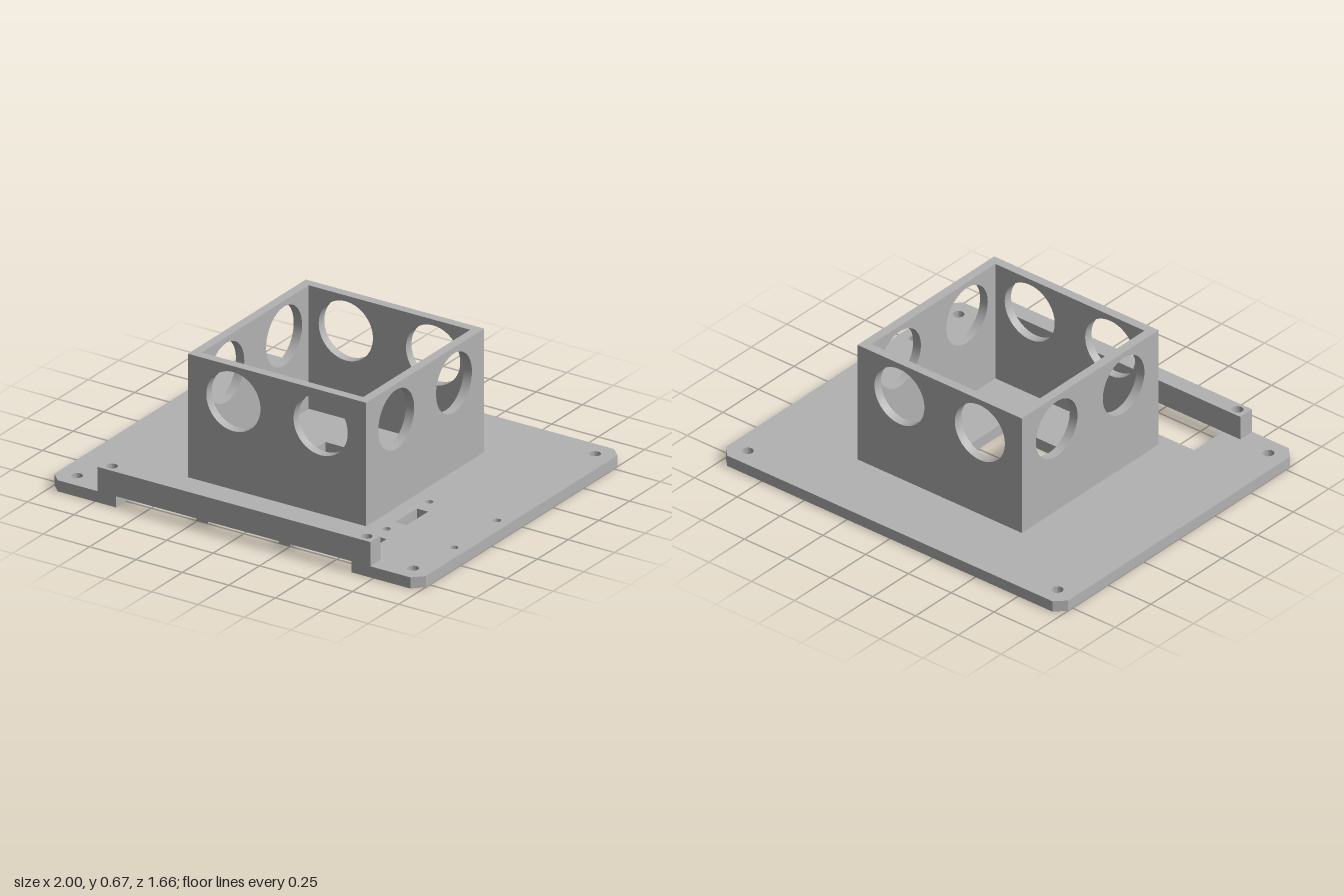
import * as THREE from 'three';
import { toCreasedNormals } from 'three/addons/utils/BufferGeometryUtils.js';

const PLATE = 0.055; // plate thickness
const TOP = 0.665; // top of the housing
const HALF = 0.48; // half width of the housing
const WALL = 0.045;

function polygon(points) {
  return new THREE.Shape(points.map(([x, y]) => new THREE.Vector2(x, y)));
}

function rect(x0, y0, x1, y1) {
  return polygon([[x0, y0], [x1, y0], [x1, y1], [x0, y1]]);
}

function circleHole(shape, x, y, r) {
  const hole = new THREE.Path();
  hole.absarc(x, y, r, 0, Math.PI * 2, true);
  shape.holes.push(hole);
}

function extrude(shape, depth) {
  const geo = new THREE.ExtrudeGeometry(shape, { depth, bevelEnabled: false, curveSegments: 32 });
  return toCreasedNormals(geo, 0.5);
}

export function createModel() {
  const model = new THREE.Group();
  const grey = new THREE.MeshStandardMaterial({ color: 0xb2b2b2 });
  grey.name = 'grey';

  function add(name, geo) {
    const mesh = new THREE.Mesh(geo, grey);
    mesh.name = name;
    model.add(mesh);
    return mesh;
  }

  // Base plate: chamfered corners, front cut-out with two fingers (shape y is -z)
  const plate = polygon([
    [-1, 0.78], [-1, -0.78], [-0.95, -0.83],
    [-0.635, -0.83], [-0.635, -0.545], [-0.255, -0.545], [-0.255, -0.75],
    [-0.192, -0.75], [-0.192, -0.545], [0.19, -0.545], [0.19, -0.75],
    [0.25, -0.75], [0.25, -0.545], [0.633, -0.545], [0.633, -0.83],
    [0.95, -0.83], [1, -0.78], [1, 0.78], [0.95, 0.83], [-0.95, 0.83],
  ]);
  plate.holes.push(rect(-0.175, -0.172, 0.172, 0.177)); // central window
  plate.holes.push(rect(0.565, -0.368, 0.625, -0.195)); // cable slot
  for (const s of [-1, 1]) {
    for (const z of [-0.74, 0.74]) circleHole(plate, s * 0.905, -z, 0.027); // corner screws
    circleHole(plate, s * 0.686, -0.787, 0.027); // bar screws
  }
  for (const x of [0.57, 0.935]) {
    for (const z of [0.103, 0.452]) circleHole(plate, x, -z, 0.019); // small screws
  }
  add('basePlate', extrude(plate, PLATE).rotateX(-Math.PI / 2));

  // Clamp bar across the front edge
  const bar = rect(-0.736, -0.83, 0.734, -0.747);
  for (const s of [-1, 1]) circleHole(bar, s * 0.686, -0.787, 0.027);
  add('frontBar', extrude(bar, 0.12).rotateX(-Math.PI / 2).translate(0, PLATE, 0));

  // Open square housing: four walls, each with two round openings
  const walls = ['frontWall', 'leftWall', 'backWall', 'rightWall'];
  walls.forEach((name, i) => {
    const half = i % 2 ? HALF - WALL : HALF; // side walls fit between front and back
    const shape = rect(-half, PLATE, half, TOP);
    for (const s of [-1, 1]) circleHole(shape, s * 0.235, 0.49, 0.146);
    add(name, extrude(shape, WALL).translate(0, 0, HALF - WALL).rotateY(i * Math.PI / 2));
  });

  return model;
}
